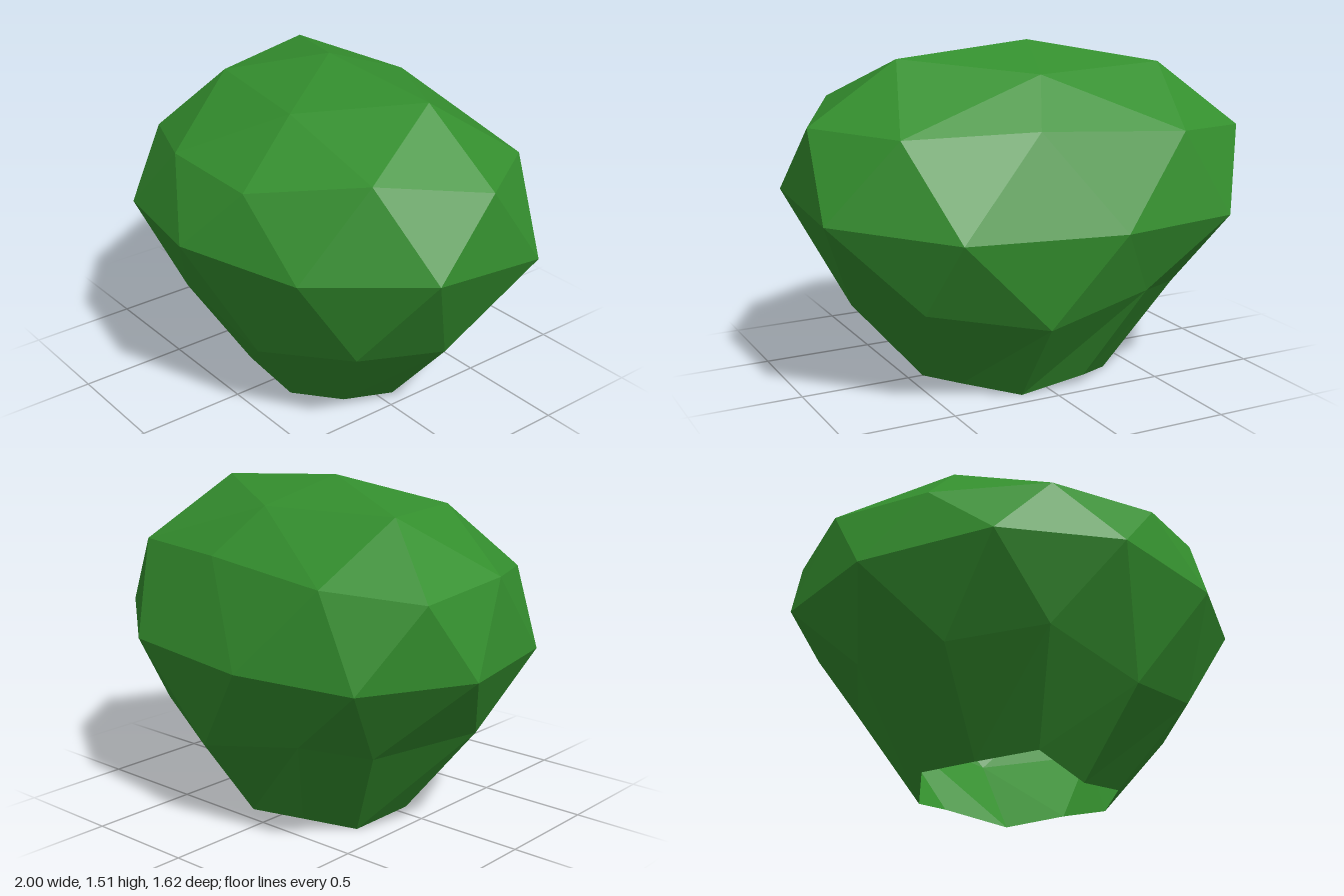
import * as THREE from 'three';

// Cross-sections of the foliage, each point [x, y, z], running from +x round through +z
const apex = [-0.06, 1.51, -0.08];
const crown = [[0.57, 1.46, -0.1], [0.2, 1.4, 0.33], [-0.45, 1.39, 0.21], [-0.59, 1.41, -0.32], [0.05, 1.4, -0.41]];
const shoulder = [
  [0.97, 1.2, -0.1], [0.73, 1.26, 0.33], [0.31, 1.17, 0.65], [-0.19, 1.18, 0.65], [-0.67, 1.11, 0.44],
  [-0.91, 1.17, -0.04], [-0.9, 1.13, -0.5], [-0.5, 1.16, -0.68], [0.16, 1.2, -0.62], [0.72, 1.19, -0.49],
];
const waist = [
  [1, 0.89, 0.2], [0.61, 0.86, 0.61], [0.07, 0.89, 0.81], [-0.49, 0.86, 0.7], [-0.9, 0.81, 0.26],
  [-1, 0.8, -0.3], [-0.72, 0.78, -0.72], [-0.15, 0.78, -0.81], [0.55, 0.79, -0.71], [1, 0.84, -0.35],
];
const belly = [
  [0.78, 0.4, -0.05], [0.66, 0.44, 0.34], [0.26, 0.38, 0.56], [-0.19, 0.53, 0.62], [-0.56, 0.46, 0.4],
  [-0.78, 0.47, 0], [-0.6, 0.43, -0.46], [-0.35, 0.47, -0.64], [0.15, 0.38, -0.7], [0.62, 0.45, -0.48],
];
const rim = [
  [0.45, 0.02, -0.05], [0.38, 0.04, 0.18], [0.14, 0, 0.3], [-0.1, 0.09, 0.35], [-0.32, 0.05, 0.2],
  [-0.45, 0.06, -0.05], [-0.36, 0, -0.28], [-0.17, 0.04, -0.42], [0.14, 0, -0.42], [0.37, 0.05, -0.29],
];

export function createModel() {
  const positions = [];
  const tri = (a, b, c) => positions.push(...a, ...b, ...c);
  const at = (ring, i) => ring[(i + ring.length) % ring.length];

  // Domed top: apex fan, then five crown points stitched to ten shoulder points
  for (let k = 0; k < 5; k++) {
    const m = crown[k], next = at(crown, k + 1);
    tri(apex, next, m);
    tri(m, next, at(shoulder, 2 * k + 1));
    tri(m, at(shoulder, 2 * k + 1), shoulder[2 * k]);
    tri(m, shoulder[2 * k], at(shoulder, 2 * k - 1));
  }

  for (let i = 0; i < 10; i++) {
    // Zigzag bands above and below the waist
    tri(shoulder[i], waist[i], at(waist, i - 1));
    tri(shoulder[i], at(shoulder, i + 1), waist[i]);
    tri(at(waist, i - 1), waist[i], belly[i]);
    tri(waist[i], at(belly, i + 1), belly[i]);
    // Tapered underside, left open at the rim
    tri(belly[i], at(belly, i + 1), at(rim, i + 1));
    tri(belly[i], at(rim, i + 1), rim[i]);
  }

  const geometry = new THREE.BufferGeometry();
  geometry.setAttribute('position', new THREE.Float32BufferAttribute(positions, 3));
  geometry.computeVertexNormals();

  // Double-sided because the inside shows through the open base
  const leafGreen = new THREE.MeshStandardMaterial({ color: 0x348f2e, flatShading: true, side: THREE.DoubleSide });
  leafGreen.name = 'leafGreen';
  const foliage = new THREE.Mesh(geometry, leafGreen);
  foliage.name = 'foliage';

  const group = new THREE.Group();
  group.name = 'bush';
  group.add(foliage);
  return group;
}
